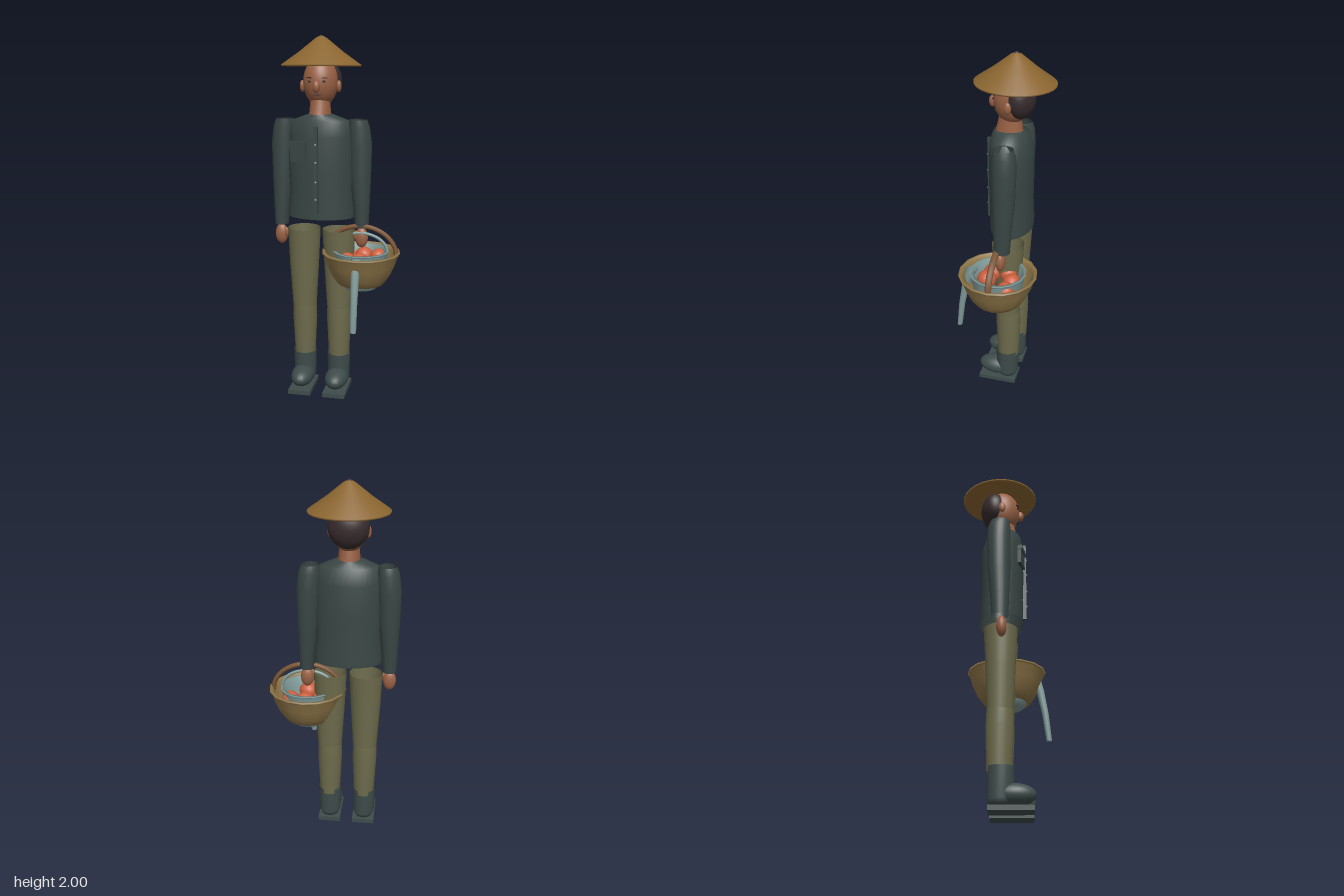
import * as THREE from 'three';
import { mergeVertices } from 'three/addons/utils/BufferGeometryUtils.js';

const mat = (name, color, side = THREE.FrontSide) => {
  const m = new THREE.MeshStandardMaterial({ color, side });
  m.name = name;
  return m;
};

export function createModel() {
  const D = THREE.DoubleSide;
  const skin = mat('skin', 0x9a6245);
  const hair = mat('dark hair', 0x382c2e);
  const straw = mat('straw', 0x8a6530);
  const cloth = mat('dark green cloth', 0x3a4745, D);
  const khaki = mat('olive cloth', 0x6d6b4c, D);
  const boot = mat('boot rubber', 0x3e4c4b, D);
  const wicker = mat('wicker', 0x92794a, D);
  const enamel = mat('pale enamel', 0x819c9a, D);
  const fruit = mat('orange fruit', 0xcc5f3e);
  const wood = mat('brown wood', 0x7c5637);

  const model = new THREE.Group();
  const body = new THREE.Group();
  body.name = 'figure';
  body.position.x = -0.083;
  model.add(body);

  const add = (parent, name, geo, material, x = 0, y = 0, z = 0) => {
    const m = new THREE.Mesh(geo, material);
    m.name = name;
    m.position.set(x, y, z);
    parent.add(m);
    return m;
  };
  const ball = (parent, name, material, [x, y, z], [rx, ry, rz], seg = 24) =>
    add(parent, name, new THREE.SphereGeometry(1, seg, Math.ceil(seg * 0.67)), material, x, y, z).scale.set(rx, ry, rz);
  const box = (parent, name, material, [x, y, z], [w, h, d]) =>
    add(parent, name, new THREE.BoxGeometry(w, h, d), material, x, y, z);

  // Open tube through elliptical sections [y, cx, cz, rx, rz], listed from top to bottom
  const loft = (sections, seg = 24) => {
    const n = sections.length - 1;
    const geo = new THREE.CylinderGeometry(1, 1, 1, seg, n, true);
    const p = geo.attributes.position;
    for (let i = 0; i < p.count; i++) {
      const [y, cx, cz, rx, rz] = sections[Math.round((0.5 - p.getY(i)) * n)];
      p.setXYZ(i, cx + p.getX(i) * rx, y, cz + p.getZ(i) * rz);
    }
    geo.deleteAttribute('uv');
    geo.deleteAttribute('normal');
    const merged = mergeVertices(geo, 1e-5);
    merged.computeVertexNormals();
    return merged;
  };
  const lathe = (pts, seg) => new THREE.LatheGeometry(pts.map(([x, y]) => new THREE.Vector2(x, y)), seg);

  // Jacket
  add(body, 'jacket', loft([
    [1.59, 0, -0.003, 0.06, 0.08], [1.555, 0, -0.012, 0.157, 0.1], [1.47, 0, -0.02, 0.175, 0.117],
    [1.3, 0, -0.02, 0.18, 0.118], [1.18, 0, -0.022, 0.173, 0.115], [1.06, 0, -0.025, 0.184, 0.118],
    [1.024, 0, -0.025, 0.184, 0.117],
  ], 32), cloth);
  box(body, 'buttonPlacket', cloth, [0, 1.295, 0.1], [0.022, 0.47, 0.026]);
  for (const y of [1.435, 1.34, 1.235, 1.14]) ball(body, 'button', enamel, [0, y, 0.114], [0.006, 0.006, 0.006], 10);
  const pocket = new THREE.Group();
  pocket.name = 'chestPocket';
  pocket.position.set(-0.1, 1.395, 0.086);
  pocket.rotation.y = -0.22;
  body.add(pocket);
  box(pocket, 'pocketPatch', cloth, [0, -0.008, 0], [0.09, 0.094, 0.02]);
  box(pocket, 'pocketFlap', cloth, [0, 0.04, 0.004], [0.098, 0.026, 0.024]);

  // Arms and legs, mirrored
  for (const s of [-1, 1]) {
    add(body, 'sleeve', loft([
      [1.56, s * 0.203, -0.027, 0.049, 0.053], [1.52, s * 0.208, -0.032, 0.058, 0.062],
      [1.43, s * 0.215, -0.034, 0.064, 0.064], [1.25, s * 0.219, -0.032, 0.057, 0.06],
      [1.1, s * 0.225, -0.028, 0.046, 0.05], [0.97, s * 0.228, -0.026, 0.038, 0.043],
    ]), cloth);
    ball(body, 'hand', skin, [s * 0.229, 0.912, -0.018], [0.036, 0.057, 0.027]);
    ball(body, 'thumb', skin, [s * 0.198, 0.925, -0.008], [0.012, 0.028, 0.013], 12);

    add(body, 'upperTrouserLeg', loft([
      [0.953, s * 0.099, -0.026, 0.092, 0.09], [0.75, s * 0.1, -0.026, 0.083, 0.078],
      [0.5, s * 0.1, -0.027, 0.068, 0.067],
    ]), khaki);
    add(body, 'lowerTrouserLeg', loft([
      [0.51, s * 0.1, -0.028, 0.067, 0.068], [0.42, s * 0.1, -0.03, 0.069, 0.071],
      [0.19, s * 0.1, -0.031, 0.058, 0.062],
    ]), khaki);
    add(body, 'bootShaft', loft([
      [0.217, s * 0.1, -0.025, 0.066, 0.067], [0.06, s * 0.1, -0.025, 0.062, 0.065],
      [0.035, s * 0.1, -0.025, 0.05, 0.055], [0.035, s * 0.1, -0.025, 0.001, 0.001],
    ]), boot);
    ball(body, 'bootToe', boot, [s * 0.1, 0.083, 0.04], [0.065, 0.056, 0.108]);
    box(body, 'sole', boot, [s * 0.1, 0.0125, 0.026], [0.128, 0.025, 0.222]);
  }

  // Neck and head
  add(body, 'neck', loft([[1.68, 0, -0.01, 0.052, 0.055], [1.62, 0, -0.008, 0.056, 0.066],
    [1.575, 0, -0.005, 0.06, 0.076]]), skin);
  ball(body, 'head', skin, [0, 1.757, -0.022], [0.093, 0.13, 0.1], 32);
  ball(body, 'hair', hair, [0, 1.765, -0.064], [0.107, 0.112, 0.08], 32);
  ball(body, 'nose', skin, [0, 1.735, 0.083], [0.02, 0.032, 0.021], 16);
  box(body, 'mouth', hair, [0, 1.692, 0.065], [0.034, 0.005, 0.008]);
  for (const s of [-1, 1]) {
    ball(body, 'ear', skin, [s * 0.1, 1.735, -0.02], [0.014, 0.032, 0.02], 16);
    ball(body, 'eye', hair, [s * 0.039, 1.763, 0.069], [0.009, 0.007, 0.006], 12);
    box(body, 'eyebrow', hair, [s * 0.041, 1.781, 0.067], [0.028, 0.005, 0.008]).rotation.y = s * 0.4;
  }

  // Conical hat, tipped slightly back
  const hat = new THREE.Group();
  hat.name = 'conicalHat';
  hat.position.set(0, 1.842, -0.037);
  hat.rotation.x = -0.027;
  body.add(hat);
  add(hat, 'hatCone', lathe([[0, 0.138], [0.204, -0.005], [0.212, -0.005], [0.214, 0.004],
    [0.12, 0.07], [0.03, 0.142], [0, 0.157]], 28), straw);
  ball(hat, 'hatTip', hair, [0, 0.147, 0], [0.014, 0.011, 0.014], 12);

  // Basket, centred on its own axis
  const basket = new THREE.Group();
  basket.name = 'fruitBasket';
  basket.position.set(0.146, 0, -0.003);
  model.add(basket);
  add(basket, 'basketWall', lathe([[0, 0.658], [0.13, 0.658], [0.16, 0.7], [0.19, 0.765], [0.208, 0.825],
    [0.216, 0.828], [0.218, 0.838], [0.204, 0.84], [0.195, 0.82], [0.178, 0.765], [0.148, 0.705],
    [0.12, 0.668], [0, 0.668]], 16), wicker);

  // Enamel bowl passing through the basket floor
  add(basket, 'bowl', lathe([[0, 0.63], [0.09, 0.63], [0.108, 0.65], [0.125, 0.7], [0.143, 0.78], [0.148, 0.835],
    [0.156, 0.838], [0.156, 0.845], [0.14, 0.845], [0.13, 0.78], [0.112, 0.7], [0.1, 0.66]], 16), enamel);

  // Arched handles
  const arch = (name, material, half, base, height, r, zScale) => {
    const pts = Array.from({ length: 13 }, (_, i) => {
      const a = (i / 12) * Math.PI;
      return new THREE.Vector3(half * Math.cos(a), base + height * Math.sin(a), 0);
    });
    add(basket, name, new THREE.TubeGeometry(new THREE.CatmullRomCurve3(pts), 28, r, 8), material).scale.z = zScale;
  };
  arch('basketHandle', wood, 0.198, 0.815, 0.165, 0.013, 1.4);
  arch('bowlHandle', enamel, 0.148, 0.835, 0.105, 0.009, 1);

  // Spout hanging out through the basket wall
  add(basket, 'spout', loft([
    [0.84, 0, 0.148, 0.027, 0.033], [0.79, 0, 0.168, 0.025, 0.026], [0.73, 0, 0.187, 0.022, 0.022],
    [0.6, 0, 0.212, 0.019, 0.018], [0.445, 0, 0.23, 0.017, 0.015], [0.44, 0, 0.23, 0.001, 0.001],
  ], 12), enamel);

  // Fruit
  for (const [x, z, r] of [[0.005, -0.08, 0.052], [0.088, -0.066, 0.05], [0.005, 0.062, 0.054],
    [-0.07, 0.05, 0.05], [-0.078, -0.04, 0.05]])
    ball(basket, 'orange', fruit, [x, 0.788, z], [r, r, r], 14);

  return model;
}
